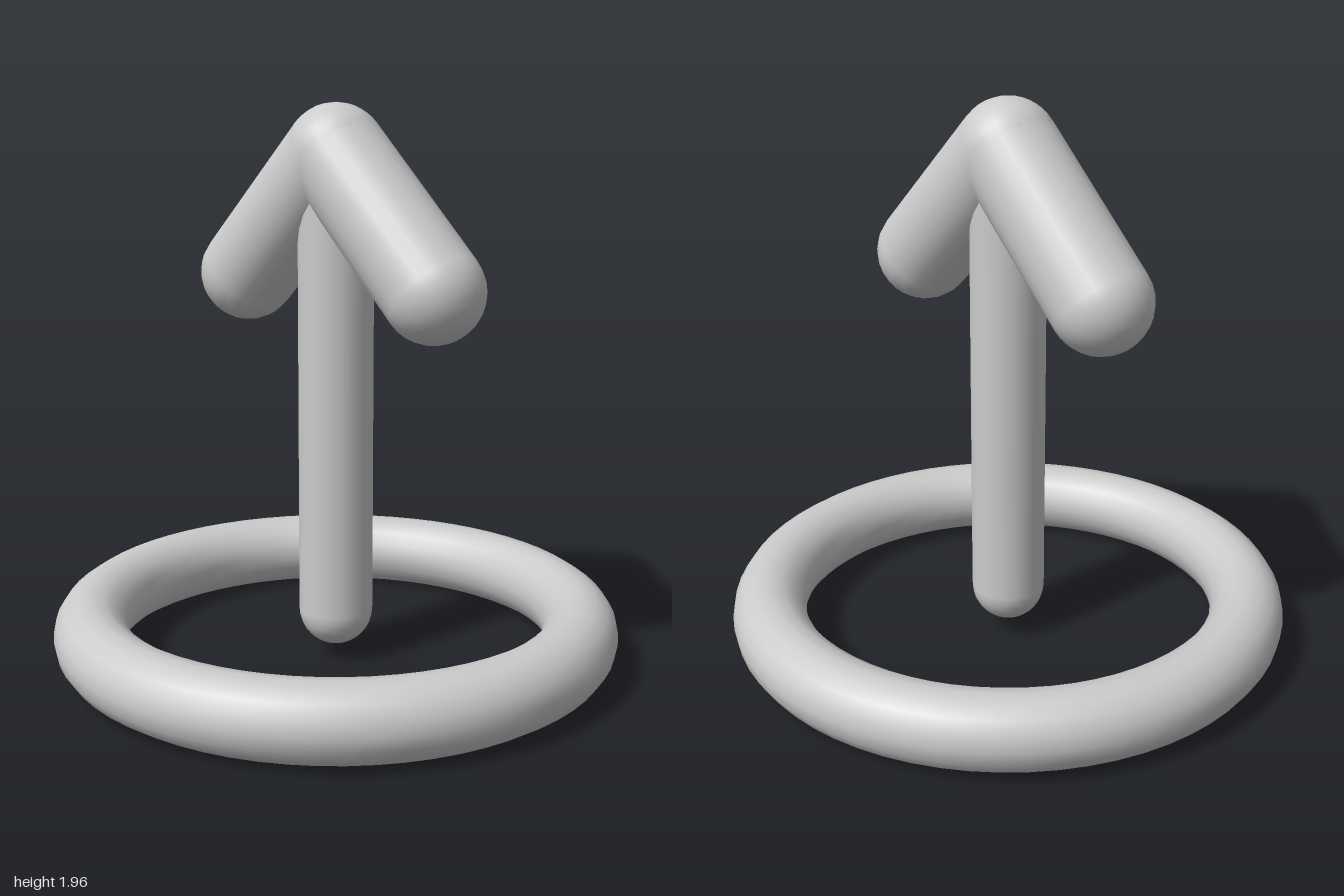
import * as THREE from 'three';

const material = new THREE.MeshStandardMaterial({ color: 0xcccccc });

// Round-ended bar between two sphere centres
function bar(name, from, to, radius) {
  const a = new THREE.Vector3(...from);
  const b = new THREE.Vector3(...to);
  const dir = b.clone().sub(a);
  const mesh = new THREE.Mesh(new THREE.CapsuleGeometry(radius, dir.length(), 8, 24), material);
  mesh.name = name;
  mesh.position.copy(a).add(b).multiplyScalar(0.5);
  mesh.quaternion.setFromUnitVectors(new THREE.Vector3(0, 1, 0), dir.normalize());
  return mesh;
}

export function createModel() {
  const model = new THREE.Group();
  model.name = 'arrowMarker';

  // Ring lying on the ground
  const ring = new THREE.Mesh(new THREE.TorusGeometry(0.869, 0.131, 16, 64), material);
  ring.name = 'baseRing';
  ring.rotation.x = -Math.PI / 2;
  ring.position.y = 0.131;
  model.add(ring);

  // Upright shaft, hanging free in the middle of the ring
  model.add(bar('shaft', [0, 0.18, 0], [0, 1.75, 0], 0.131));

  // Two arms sloping down from the tip, front and back
  for (const side of [1, -1]) {
    const name = side > 0 ? 'frontArm' : 'backArm';
    model.add(bar(name, [0, 1.356, 0.432 * side], [0, 1.787, 0], 0.174));
  }
  return model;
}
